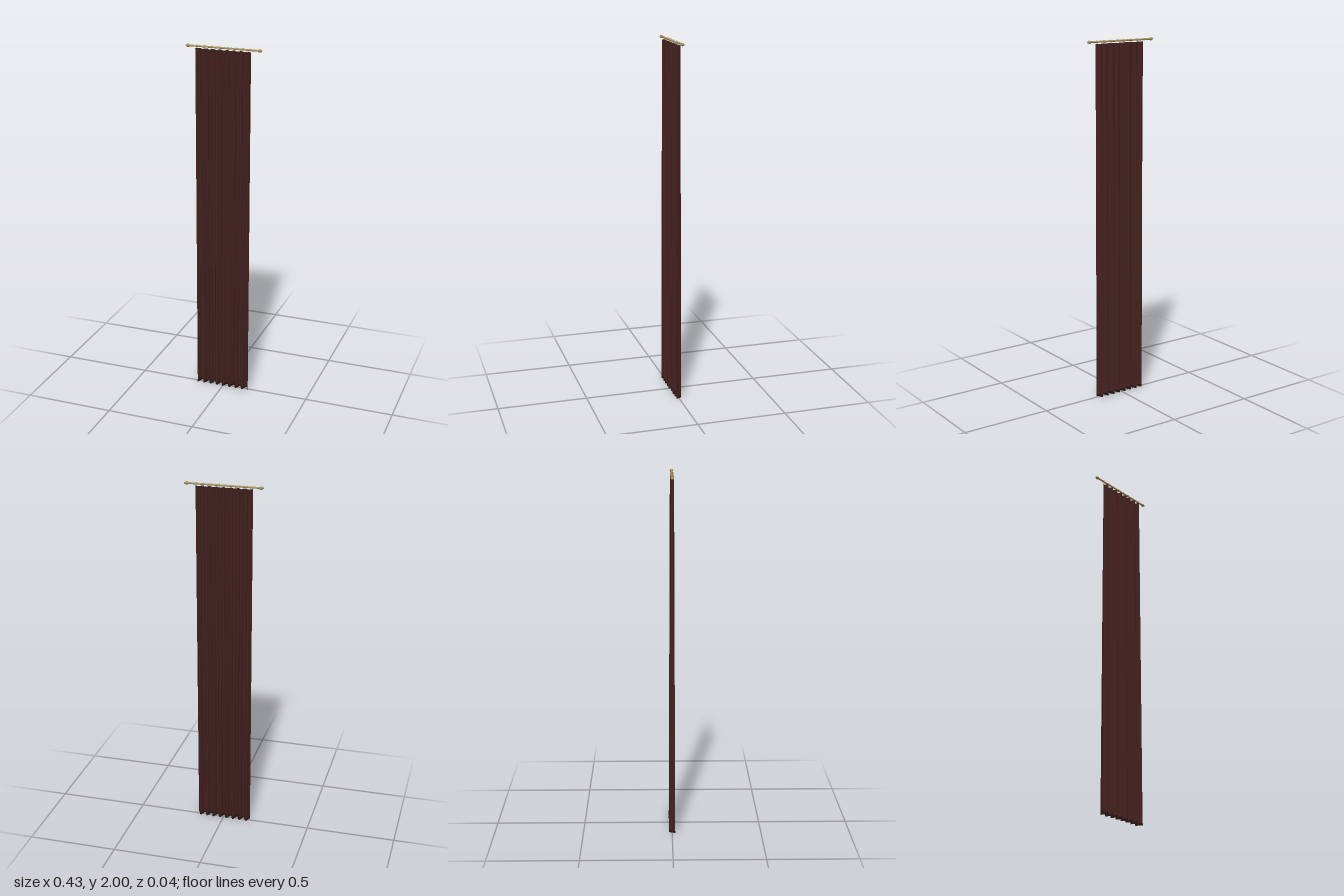
import * as THREE from 'three';

const WIDTH = 0.31, TOP = 1.98, ROD_Y = 1.991;

// Pleated sheet: a cosine wave across x whose depth grows towards the floor
function pleats(yLow, yHigh, rows, extra) {
  const g = new THREE.PlaneGeometry(WIDTH, yHigh - yLow, 44, rows);
  g.translate(0, (yLow + yHigh) / 2, 0);
  const p = g.attributes.position;
  for (let i = 0; i < p.count; i++) {
    const depth = 0.0095 + 0.0075 * (1 - p.getY(i) / TOP) + extra;
    const phase = (p.getX(i) / WIDTH + 0.5) * 8 * Math.PI * 2;
    p.setZ(i, depth * Math.cos(phase));
  }
  g.computeVertexNormals();
  return g;
}

export function createModel() {
  const group = new THREE.Group();
  const cloth = new THREE.MeshStandardMaterial({ color: 0x43211f, side: THREE.DoubleSide, flatShading: true });
  cloth.name = 'dark red cloth';
  const hemCloth = new THREE.MeshStandardMaterial({ color: 0x2a1516, side: THREE.DoubleSide, flatShading: true });
  hemCloth.name = 'dark hem cloth';
  const brass = new THREE.MeshStandardMaterial({ color: 0xa8935f });
  brass.name = 'aged brass';

  const add = (name, geometry, material) => {
    const mesh = new THREE.Mesh(geometry, material);
    mesh.name = name;
    group.add(mesh);
    return mesh;
  };

  // Curtain and its hem
  add('curtain', pleats(0.012, TOP, 4, 0), cloth);
  add('hem', pleats(0, 0.014, 1, 0.001), hemCloth);

  // Rod
  const rod = add('rod', new THREE.CylinderGeometry(0.005, 0.005, 0.384, 12), brass);
  rod.rotation.z = Math.PI / 2;
  rod.position.y = ROD_Y;

  // Acorn finials at both ends
  const profile = [[0, 0], [0.004, 0], [0.0075, 0.004], [0.009, 0.009], [0.0085, 0.014],
    [0.006, 0.019], [0.003, 0.023], [0, 0.025]].map(([r, y]) => new THREE.Vector2(r, y));
  for (const side of [-1, 1]) {
    const finial = add(side > 0 ? 'leftFinial' : 'rightFinial', new THREE.LatheGeometry(profile, 16), brass);
    finial.rotation.z = -side * Math.PI / 2;
    finial.position.set(side * 0.19, ROD_Y, 0);
  }

  // Rings holding the cloth
  const ringGeometry = new THREE.TorusGeometry(0.0085, 0.0008, 6, 20);
  for (let i = 0; i < 8; i++) {
    const ring = add('ring' + (i + 1), ringGeometry, brass);
    ring.rotation.y = Math.PI / 2;
    ring.position.set(-0.15 + (i * 0.3) / 7, ROD_Y - 0.0015, 0);
  }
  return group;
}
